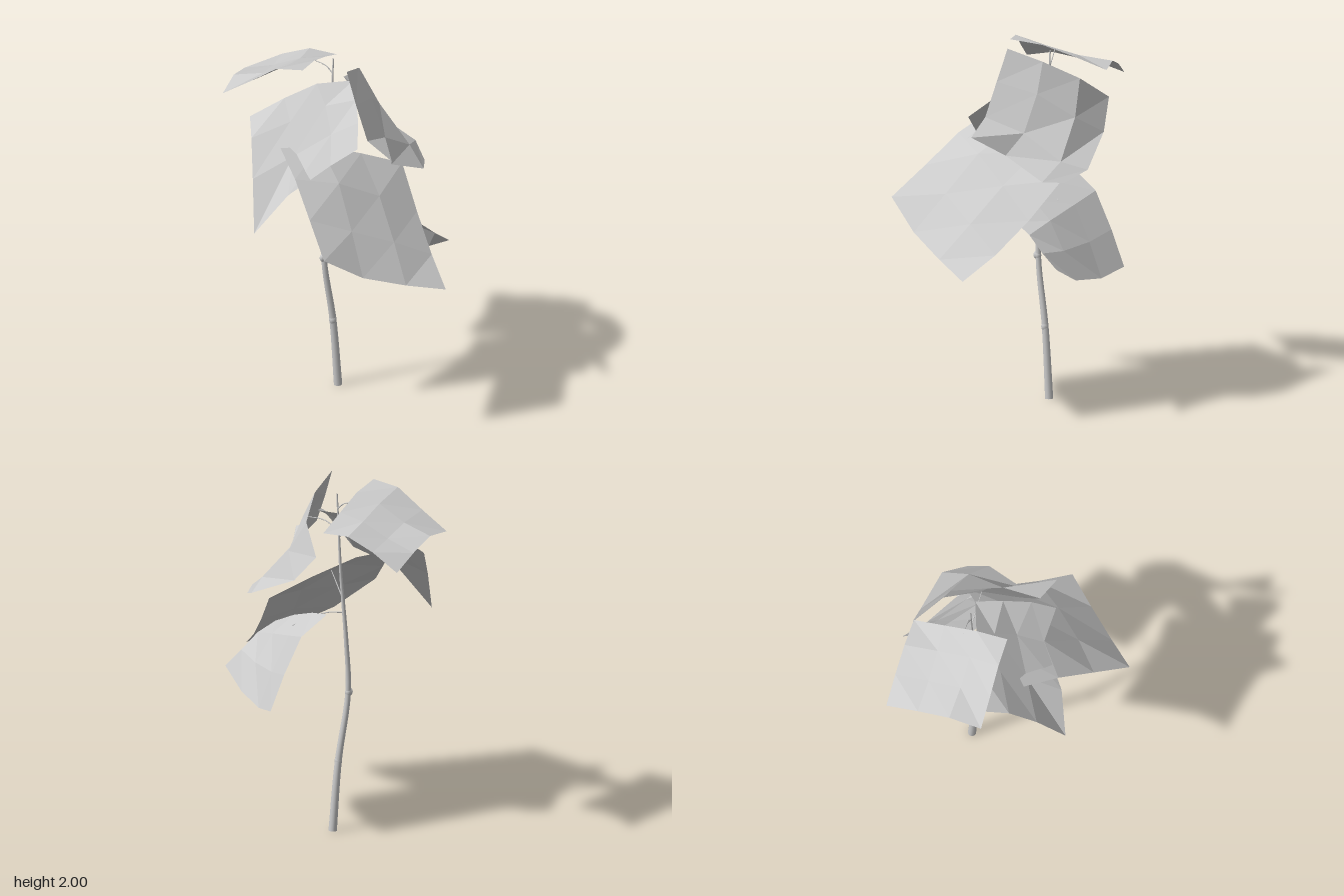
import * as THREE from 'three';

const paleGrey = new THREE.MeshStandardMaterial({ color: 0xcccccc, side: THREE.DoubleSide });
paleGrey.name = 'paleGrey';
const leafGrey = paleGrey.clone();
leafGrey.flatShading = true;
leafGrey.name = 'leafGrey';

const V = (p) => new THREE.Vector3(...p);

// A leaf is a 3 x 3 sheet stretched between twelve rim points: four along the
// first edge, then on round the sheet. lifts raise or sink its four inner points.
function leaf(name, lifts, rim) {
  const p = rim.map(V);
  const up = p[6].clone().sub(p[0]).cross(p[9].clone().sub(p[3])).normalize();
  if (up.y < 0) up.negate();
  const verts = [];
  for (let j = 0; j < 4; j++) {
    for (let i = 0; i < 4; i++) {
      const u = i / 3, v = j / 3;
      const rows = p[i].clone().lerp(p[9 - i], v);
      const sides = p[(12 - j) % 12].clone().lerp(p[3 + j], u);
      const corners = p[0].clone().lerp(p[3], u).lerp(p[9].clone().lerp(p[6], u), v);
      rows.add(sides).sub(corners);
      if (i % 3 && j % 3) rows.addScaledVector(up, lifts[(j - 1) * 2 + i - 1]);
      verts.push(...rows.toArray());
    }
  }
  const index = [];
  for (let j = 0; j < 3; j++) {
    for (let i = 0; i < 3; i++) {
      const a = j * 4 + i;
      index.push(a, a + 4, a + 1, a + 1, a + 4, a + 5);
    }
  }
  let geo = new THREE.BufferGeometry();
  geo.setAttribute('position', new THREE.Float32BufferAttribute(verts, 3));
  geo.setIndex(index);
  geo = geo.toNonIndexed();
  geo.computeVertexNormals();
  const mesh = new THREE.Mesh(geo, leafGrey);
  mesh.name = name;
  return mesh;
}

// Round stalk along a curve, narrowing from r0 to r1
function stalk(name, points, r0, r1, steps, sides) {
  const curve = new THREE.CatmullRomCurve3(points.map(V));
  const geo = new THREE.TubeGeometry(curve, steps, 1, sides);
  const pos = geo.attributes.position;
  const v = new THREE.Vector3();
  for (let s = 0; s <= steps; s++) {
    const c = curve.getPointAt(s / steps);
    const r = r0 + (r1 - r0) * (s / steps);
    for (let k = 0; k <= sides; k++) {
      const n = s * (sides + 1) + k;
      v.fromBufferAttribute(pos, n).sub(c).multiplyScalar(r).add(c);
      pos.setXYZ(n, v.x, v.y, v.z);
    }
  }
  const mesh = new THREE.Mesh(geo, paleGrey);
  mesh.name = name;
  return mesh;
}

export function createModel() {
  const plant = new THREE.Group();
  plant.name = 'plant';

  // Main stem with its closed foot
  plant.add(stalk('stem', [
    [0.105, 0, -0.077], [0.072, 0.4, -0.08], [0.015, 0.79, -0.085], [0.03, 1.1, -0.09],
    [0.065, 1.5, -0.095], [0.08, 1.75, -0.1], [0.09, 1.96, -0.1],
  ], 0.023, 0.004, 32, 12));
  const foot = new THREE.Mesh(new THREE.CircleGeometry(0.023, 12), paleGrey);
  foot.name = 'stemFoot';
  foot.rotation.x = Math.PI / 2;
  foot.position.set(0.105, 0.001, -0.077);
  plant.add(foot);

  // Swollen joints and a small bud
  for (const [name, x, y, z, r] of [
    ['lowerJoint', 0.071, 0.4, -0.079, 0.021],
    ['upperJoint', 0.014, 0.79, -0.085, 0.018],
    ['bud', 0.003, 0.79, -0.082, 0.016],
  ]) {
    const joint = new THREE.Mesh(new THREE.SphereGeometry(r, 12, 8), paleGrey);
    joint.name = name;
    joint.position.set(x, y, z);
    joint.scale.y = 1.4;
    plant.add(joint);
  }

  // Thin leaf stalks
  const stalks = {
    backLeafStalk: [[0.088, 1.87, -0.1], [0.07, 1.91, -0.14], [0.03, 1.935, -0.2]],
    leftUpperLeafStalk: [[0.09, 1.75, -0.1], [0.13, 1.79, -0.03], [0.2, 1.79, 0.07]],
    rightUpperLeafStalk: [[0.078, 1.7, -0.1], [0.03, 1.73, -0.07], [-0.03, 1.72, -0.03]],
    frontLeafStalk: [[0.055, 1.35, -0.093], [0.06, 1.4, -0.05], [0.05, 1.46, 0.05]],
    lowerLeafStalk: [[0.045, 1.26, -0.09], [0.14, 1.26, -0.05], [0.29, 1.18, 0.045]],
  };
  for (const [name, pts] of Object.entries(stalks)) {
    plant.add(stalk(name, pts, 0.004, 0.002, 8, 6));
  }

  // Leaves
  plant.add(leaf('backLeaf', [-0.045, -0.04, -0.045, -0.04], [
    [-0.16, 1.985, -0.045], [-0.01, 1.963, -0.14], [0.14, 1.905, -0.24], [0.29, 1.84, -0.335],
    [0.207, 1.85, -0.468], [0.123, 1.79, -0.602], [0.04, 1.7, -0.733],
    [-0.11, 1.76, -0.635], [-0.26, 1.8, -0.535], [-0.41, 1.77, -0.435],
    [-0.327, 1.865, -0.305], [-0.243, 1.968, -0.175],
  ]));
  plant.add(leaf('leftUpperLeaf', [0.05, 0.015, 0.035, -0.01], [
    [0, 2, 0.14], [0.16, 1.935, 0.03], [0.29, 1.835, -0.127], [0.325, 1.7, -0.318],
    [0.4, 1.54, -0.2], [0.53, 1.403, 0.06], [0.487, 1.348, 0.2],
    [0.41, 1.355, 0.292], [0.165, 1.465, 0.326], [0.052, 1.575, 0.478],
    [0.005, 1.65, 0.32], [0, 1.83, 0.225],
  ]));
  plant.add(leaf('rightUpperLeaf', [-0.055, -0.04, -0.07, -0.05], [
    [-0.305, 1.64, -0.33], [-0.15, 1.745, -0.225], [0, 1.825, -0.13], [0.16, 1.845, -0.01],
    [0.08, 1.8, 0.12], [-0.005, 1.735, 0.25], [-0.09, 1.64, 0.355],
    [-0.163, 1.507, 0.21], [-0.4, 1.37, 0.14], [-0.556, 1.146, 0.04],
    [-0.467, 1.4, -0.09], [-0.382, 1.575, -0.215],
  ]));
  plant.add(leaf('frontLeaf', [0.045, 0.035, 0.03, 0.03], [
    [-0.308, 1.556, -0.05], [-0.08, 1.525, 0.01], [0.155, 1.435, 0.065], [0.393, 1.33, 0.12],
    [0.34, 1.13, 0.325], [0.285, 0.965, 0.53], [0.23, 0.845, 0.73],
    [0, 0.915, 0.675], [-0.25, 1.01, 0.617], [-0.472, 1.155, 0.56],
    [-0.415, 1.305, 0.355], [-0.36, 1.46, 0.15],
  ]));
  plant.add(leaf('lowerLeaf', [0.01, 0.01, 0.01, 0.01], [
    [0.19, 1.3, -0.178], [0.2, 1.26, -0.02], [0.22, 1.19, 0.165], [0.25, 1.105, 0.332],
    [0.355, 1.055, 0.336], [0.455, 0.97, 0.336], [0.555, 0.895, 0.33],
    [0.54, 0.8, 0.165], [0.537, 0.77, -0.04], [0.547, 0.805, -0.207],
    [0.46, 1.0, -0.198], [0.35, 1.2, -0.188],
  ]));

  return plant;
}
